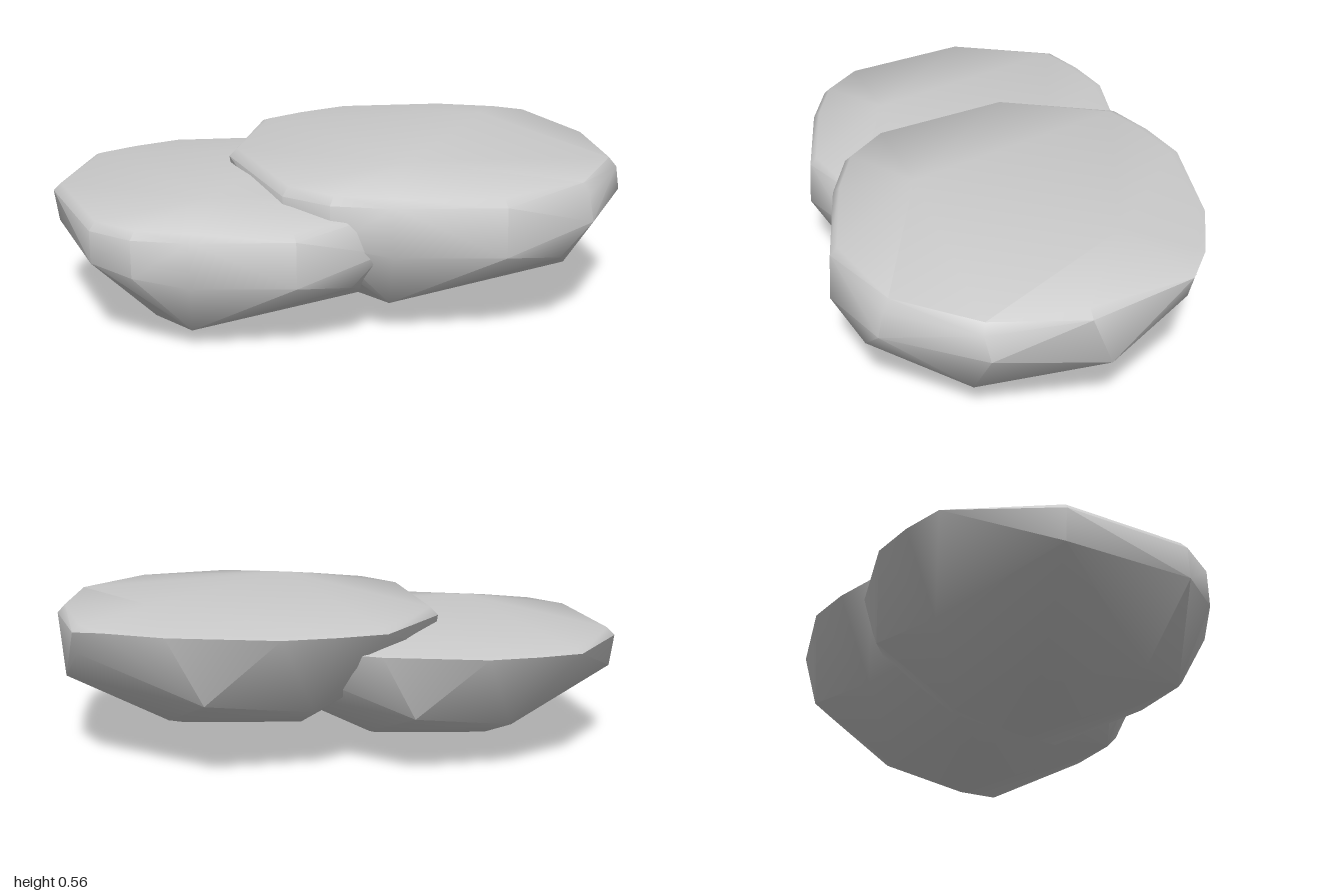
import * as THREE from 'three';
import { ConvexGeometry } from 'three/addons/geometries/ConvexGeometry.js';
import { toCreasedNormals } from 'three/addons/utils/BufferGeometryUtils.js';

// Corner points of one flat boulder, level by level (x, y, z)
const crown = [[0.2, 0.56, 0.31], [0.62, 0.56, -0.3]];
const rim = [
  [-0.37, 0.49, -0.1], [-0.2, 0.515, -0.5], [-0.04, 0.52, -0.58], [0.14, 0.523, -0.64],
  [0.52, 0.523, -0.62], [0.74, 0.52, -0.55], [0.85, 0.505, -0.48], [0.98, 0.49, -0.12],
  [0.98, 0.48, 0.22], [0.79, 0.47, 0.5], [0.47, 0.48, 0.63], [0.1, 0.48, 0.58],
  [-0.1, 0.48, 0.515], [-0.24, 0.48, 0.385],
];
const girdle = [
  [1.0, 0.39, 0.2], [0.94, 0.28, -0.2], [0.8, 0.38, 0.52], [0.68, 0.27, 0.55],
  [0.47, 0.31, 0.64], [0.1, 0.31, 0.58], [-0.1, 0.34, 0.52], [-0.24, 0.36, 0.39],
  [-0.353, 0.37, -0.1], [0.046, 0.23, -0.45], [0.4, 0.285, -0.59], [0.84, 0.43, -0.465],
];
const base = [
  [0.554, 0.045, 0.02], [0.12, 0.075, -0.05], [0.11, 0.11, 0.47], [-0.01, 0.11, 0.3],
  [0.8, 0.13, 0.22], [0.575, 0.13, -0.235],
];
// Inner edge of the soft bevel that runs round the top
const bevel = rim.map(([x, , z]) => [0.33 + (x - 0.33) * 0.96, 0.517 - 0.018 * z, z * 0.96]);

export function createModel() {
  const group = new THREE.Group();
  const points = [...crown, ...bevel, ...rim, ...girdle, ...base].map((p) => new THREE.Vector3(...p));
  const geometry = toCreasedNormals(new ConvexGeometry(points), 0.8);
  const material = new THREE.MeshStandardMaterial({ color: 0xcccccc });

  // Upper boulder
  const upper = new THREE.Mesh(geometry, material);
  upper.name = 'upperBoulder';

  // Lower boulder: the same stone, a little smaller and tucked beside the first
  const lower = new THREE.Mesh(geometry, material);
  lower.name = 'lowerBoulder';
  lower.scale.setScalar(0.92);
  lower.position.set(-0.66, -0.041, 0.052);

  group.add(upper, lower);
  return group;
}
